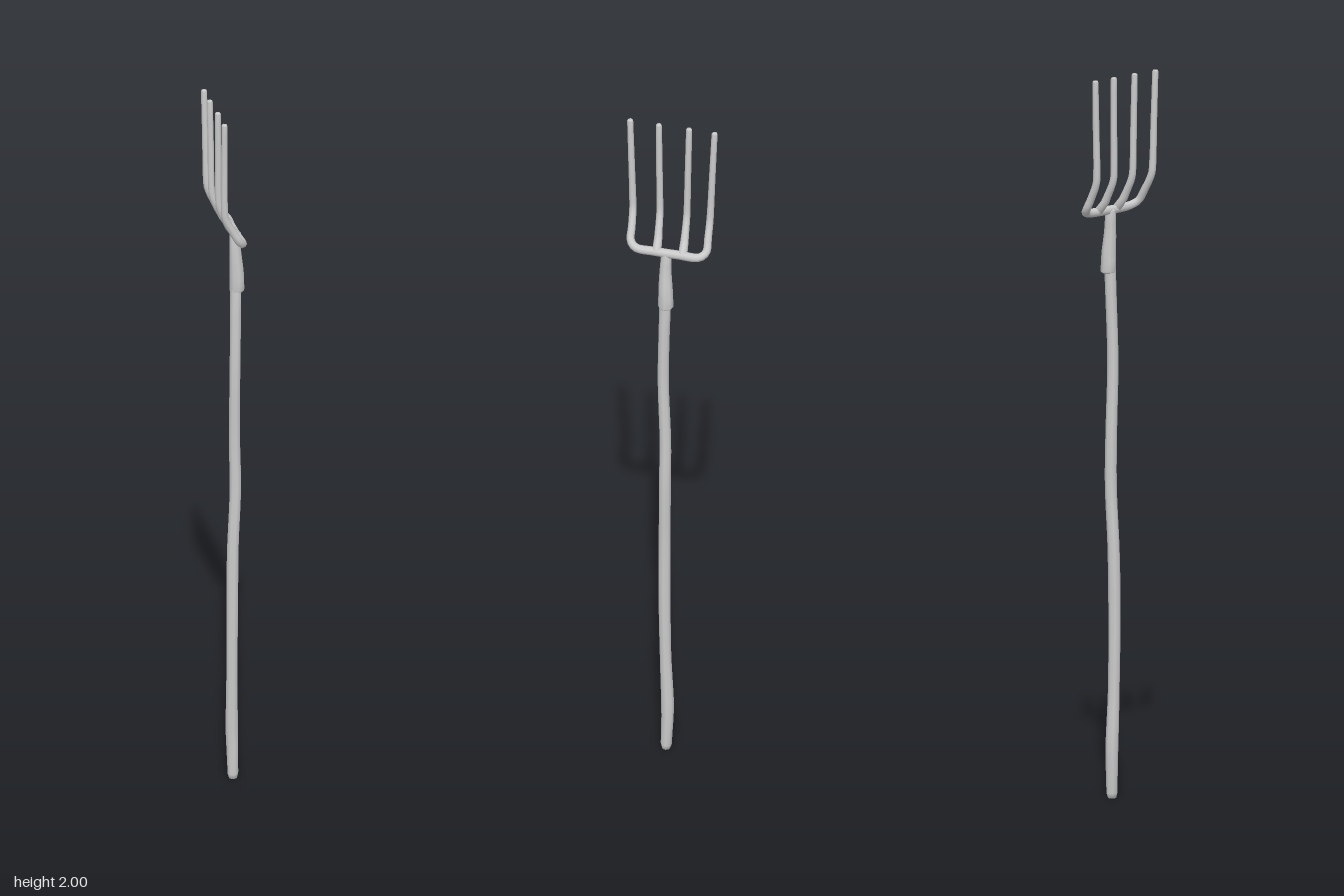
import * as THREE from 'three';
import { mergeVertices } from 'three/addons/utils/BufferGeometryUtils.js';

const material = new THREE.MeshStandardMaterial({ color: 0xcccccc });

// Closed tube through points; radii are spread evenly along its length, ends are capped.
function taperedTube(name, points, radii, segments, sides, cap = 0.004) {
  const curve = new THREE.CatmullRomCurve3(points.map((p) => new THREE.Vector3(...p)));
  const geometry = new THREE.TubeGeometry(curve, segments, 1, sides);
  const position = geometry.attributes.position;
  const capU = cap / curve.getLength();
  const v = new THREE.Vector3();
  for (let i = 0; i <= segments; i++) {
    const u = i / segments;
    const fromEnd = Math.min(i, segments - i);
    let target = u, scale = 1;
    if (fromEnd < 3) {
      const e = [0, 0, capU][fromEnd];
      target = i < 3 ? e : 1 - e;
      scale = [0, 0.75, 1][fromEnd];
    }
    const t = target * (radii.length - 1);
    const k = Math.min(Math.floor(t), radii.length - 2);
    const radius = scale * THREE.MathUtils.lerp(radii[k], radii[k + 1], t - k);
    const from = curve.getPointAt(u), to = curve.getPointAt(target);
    for (let j = 0; j <= sides; j++) {
      const n = i * (sides + 1) + j;
      v.fromBufferAttribute(position, n).sub(from).multiplyScalar(radius).add(to);
      position.setXYZ(n, v.x, v.y, v.z);
    }
  }
  geometry.deleteAttribute('uv');
  geometry.deleteAttribute('normal');
  const welded = mergeVertices(geometry, 1e-5);
  welded.computeVertexNormals();
  const mesh = new THREE.Mesh(welded, material);
  mesh.name = name;
  return mesh;
}

// Points of one tine from tip down to the bar: upright prong, then a slanted neck.
function tinePath(tipX, tipZ, footX, footZ) {
  const z = (t) => THREE.MathUtils.lerp(tipZ, footZ, t);
  return [
    [tipX, 2, tipZ],
    [tipX + 0.002, 1.86, z(0.4)],
    [tipX + 0.003, 1.75, z(0.7)],
    [tipX + 0.006, 1.715, z(0.8)],
    [THREE.MathUtils.lerp(tipX, footX, 0.5), 1.67, z(0.9)],
    [footX - 0.008, 1.637, footZ],
  ];
}

export function createModel() {
  const group = new THREE.Group();

  // Slightly crooked wooden shaft
  group.add(taperedTube('handle', [
    [0.018, 0, 0.006], [0.018, 0.05, 0.004], [0.016, 0.13, 0.002], [0.014, 0.3, 0.008],
    [0.014, 0.5, 0.011], [0.016, 0.68, 0.01], [0.024, 0.86, 0.008], [0.022, 1.0, 0.007],
    [0.021, 1.2, 0.013], [0.024, 1.36, 0.01], [0.026, 1.48, 0.006],
  ], [0.015, 0.018, 0.016, 0.0165, 0.017, 0.0165, 0.0165, 0.016, 0.0155, 0.0155, 0.016], 44, 8, 0.014));

  // Socket between shaft and head
  group.add(taperedTube('ferrule', [
    [0.03, 1.447, 0.004], [0.029, 1.5, 0.005], [0.025, 1.56, 0.006], [0.022, 1.625, 0.004],
  ], [0.0215, 0.02, 0.0165, 0.014], 14, 8, 0.005));

  // Outer tines and crossbar forged as a single bent rod
  const left = tinePath(-0.045, 0.117, 0.012, 0.106);
  const right = tinePath(-0.022, -0.121, 0.028, -0.106);
  group.add(taperedTube('crossbarAndOuterTines', [
    ...left,
    [0.017, 1.625, 0.09], [0.021, 1.622, 0.04], [0.027, 1.622, -0.03], [0.033, 1.625, -0.09],
    ...right.reverse(),
  ], [0.0085, 0.009, 0.0095, 0.0105, 0.0125, 0.0125, 0.0105, 0.0095, 0.009, 0.0085], 90, 8));

  // Inner tines, flared where they join the bar
  for (const [tipX, tipZ, footX, footZ] of [
    [-0.036, 0.036, 0.016, 0.031],
    [-0.03, -0.049, 0.022, -0.057 + 0.015],
  ]) {
    const path = [...tinePath(tipX, tipZ, footX, footZ), [footX + 0.008, 1.622, footZ]];
    group.add(taperedTube('innerTine', path,
      [0.0085, 0.0088, 0.009, 0.0092, 0.0095, 0.0105, 0.013], 30, 8));
  }
  return group;
}
